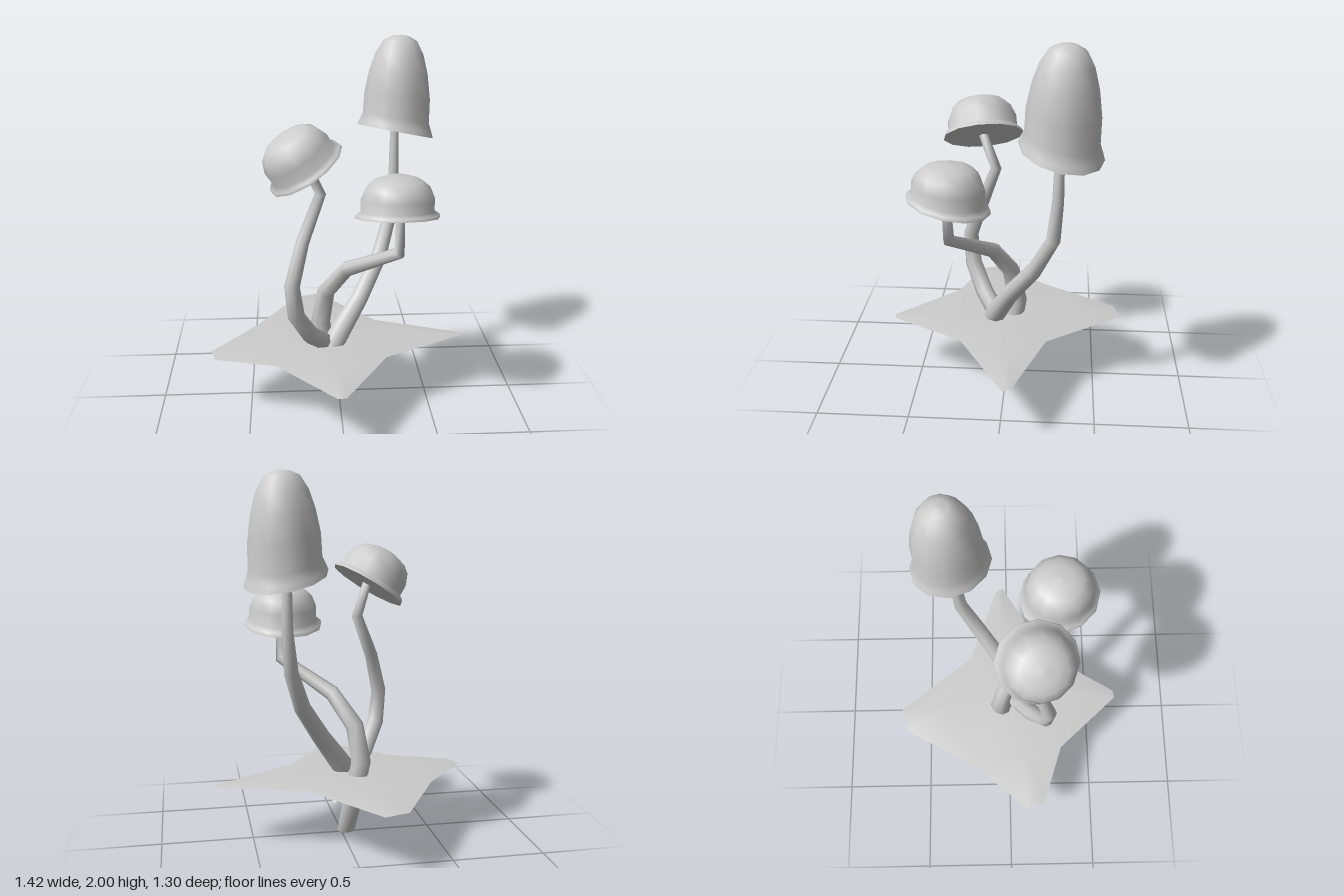
import * as THREE from 'three';

const grey = new THREE.MeshStandardMaterial({ color: 0xcccccc });
const greyThin = new THREE.MeshStandardMaterial({ color: 0xcccccc, side: THREE.DoubleSide });

function indexed(positions, index) {
  const g = new THREE.BufferGeometry();
  g.setAttribute('position', new THREE.Float32BufferAttribute(positions, 3));
  g.setIndex(index);
  g.computeVertexNormals();
  return g;
}

// Tapered stem: rings of 8 around each [x, y, z, radius], closed at both ends
function stem(name, path) {
  const sides = 8, pos = [], idx = [];
  const pts = path.map(p => new THREE.Vector3(p[0], p[1], p[2]));
  pts.forEach((p, i) => {
    const t = i === 0 ? new THREE.Vector3(0, 1, 0)
      : pts[Math.min(i + 1, pts.length - 1)].clone().sub(pts[i - 1]).normalize();
    const u = new THREE.Vector3(0, 0, 1).cross(t).normalize();
    const v = t.clone().cross(u);
    for (let s = 0; s < sides; s++) {
      const a = s / sides * Math.PI * 2, r = path[i][3];
      const q = p.clone().addScaledVector(u, Math.cos(a) * r).addScaledVector(v, Math.sin(a) * r);
      pos.push(q.x, q.y, q.z);
      if (i > 0) {
        const n = (s + 1) % sides, lo = (i - 1) * sides, hi = i * sides;
        idx.push(lo + s, lo + n, hi + n, lo + s, hi + n, hi + s);
      }
    }
  });
  const last = (pts.length - 1) * sides;
  for (let s = 1; s < sides - 1; s++) {
    idx.push(0, s + 1, s, last, last + s, last + s + 1);
  }
  const mesh = new THREE.Mesh(indexed(pos, idx), grey);
  mesh.name = name;
  return mesh;
}

// Cap: lathed bell plus flat underside; the rim slopes by kx, kz and levels out upward
function cap(name, profile, center, { kx = 0, kz = 0, up = [0, 1, 0] } = {}) {
  const height = profile[profile.length - 1][1];
  const bell = new THREE.LatheGeometry(profile.map(p => new THREE.Vector2(p[0], p[1])), 12);
  const under = new THREE.CircleGeometry(profile[0][0], 12).rotateX(Math.PI / 2);
  const group = new THREE.Group();
  group.name = name;
  [[bell, 'bell'], [under, 'underside']].forEach(([g, part]) => {
    const p = g.attributes.position;
    for (let i = 0; i < p.count; i++) {
      const fade = 1 - p.getY(i) / height;
      p.setY(i, p.getY(i) + (kx * p.getX(i) + kz * p.getZ(i)) * fade);
    }
    if (part === 'underside') g.computeVertexNormals();
    const mesh = new THREE.Mesh(g, grey);
    mesh.name = part;
    group.add(mesh);
  });
  group.position.set(...center);
  group.quaternion.setFromUnitVectors(new THREE.Vector3(0, 1, 0), new THREE.Vector3(...up).normalize());
  return group;
}

// Four-pointed ground sheet: each arm rises to a ridge and drops to a blunt tip
function groundSheet() {
  const notches = [[-0.46, -0.21], [0.23, -0.23], [0.25, 0.24], [-0.35, 0.31]];
  const arms = [
    { tip: [[-0.23, -0.615], [-0.095, -0.655]], ridge: [-0.1, -0.4] },
    { tip: [[0.68, -0.07], [0.71, -0.025]], ridge: [0.42, -0.03] },
    { tip: [[0.005, 0.645], [-0.04, 0.65]], ridge: [-0.02, 0.4] },
    { tip: [[-0.685, 0.2], [-0.715, 0.1]], ridge: [-0.42, 0.09] },
  ];
  const pos = [-0.02, 0.345, 0], idx = [];
  const add = ([x, z], y) => pos.push(x, y, z);
  arms.forEach((arm, i) => {
    add(notches[i], 0.335);
    add(arm.tip[0], 0.325);
    add(arm.tip[1], 0.325);
    add(arm.ridge, 0.36);
    const n = 1 + i * 4, a = n + 1, b = n + 2, m = n + 3, next = 1 + ((i + 1) % 4) * 4;
    idx.push(m, a, n, m, b, a, m, next, b, 0, m, n, 0, next, m);
  });
  const mesh = new THREE.Mesh(indexed(pos, idx), greyThin);
  mesh.name = 'groundSheet';
  return mesh;
}

export function createModel() {
  const model = new THREE.Group();
  model.name = 'mushroomCluster';
  model.add(groundSheet());

  // Tall mushroom
  model.add(stem('tallStem', [
    [-0.09, 0.22, 0.1, 0.075], [-0.01, 0.38, 0.06, 0.06], [0.12, 0.57, -0.03, 0.05],
    [0.24, 0.77, -0.16, 0.045], [0.31, 0.98, -0.26, 0.038], [0.33, 1.2, -0.28, 0.03],
    [0.33, 1.48, -0.285, 0.024],
  ]));
  model.add(cap('tallCap', [
    [0.215, 0], [0.205, 0.03], [0.187, 0.075], [0.184, 0.2], [0.162, 0.33],
    [0.132, 0.43], [0.092, 0.5], [0.045, 0.525], [0, 0.53],
  ], [0.335, 1.47, -0.29], { kx: -0.16, kz: 0.16, up: [0.04, 1, -0.04] }));

  const roundProfile = [
    [0.22, 0], [0.215, 0.018], [0.19, 0.035], [0.19, 0.1], [0.165, 0.16],
    [0.125, 0.195], [0.07, 0.214], [0, 0.22],
  ];

  // Short mushroom, whose stem carries on down to the root
  model.add(stem('shortStem', [
    [-0.03, 0, 0.02, 0.05], [-0.07, 0.24, -0.02, 0.058], [-0.1, 0.42, -0.055, 0.055],
    [-0.07, 0.62, -0.02, 0.05], [0.04, 0.79, 0.07, 0.043], [0.3, 0.96, 0.28, 0.033],
    [0.3, 1.17, 0.29, 0.024],
  ]));
  model.add(cap('shortCap', roundProfile, [0.285, 1.155, 0.28], { kz: 0.18, up: [0, 1, -0.03] }));

  // Leaning mushroom
  model.add(stem('leaningStem', [
    [0.03, 0.2, -0.05, 0.035], [-0.06, 0.34, 0.06, 0.05], [-0.16, 0.43, 0.14, 0.05],
    [-0.24, 0.58, 0.21, 0.047], [-0.26, 0.76, 0.225, 0.042], [-0.2, 0.98, 0.15, 0.036],
    [-0.1, 1.22, 0.065, 0.03], [-0.17, 1.39, 0.14, 0.025],
  ]));
  model.add(cap('leaningCap', roundProfile, [-0.175, 1.38, 0.14], { up: [-0.65, 1, 0.15] }));
  return model;
}
